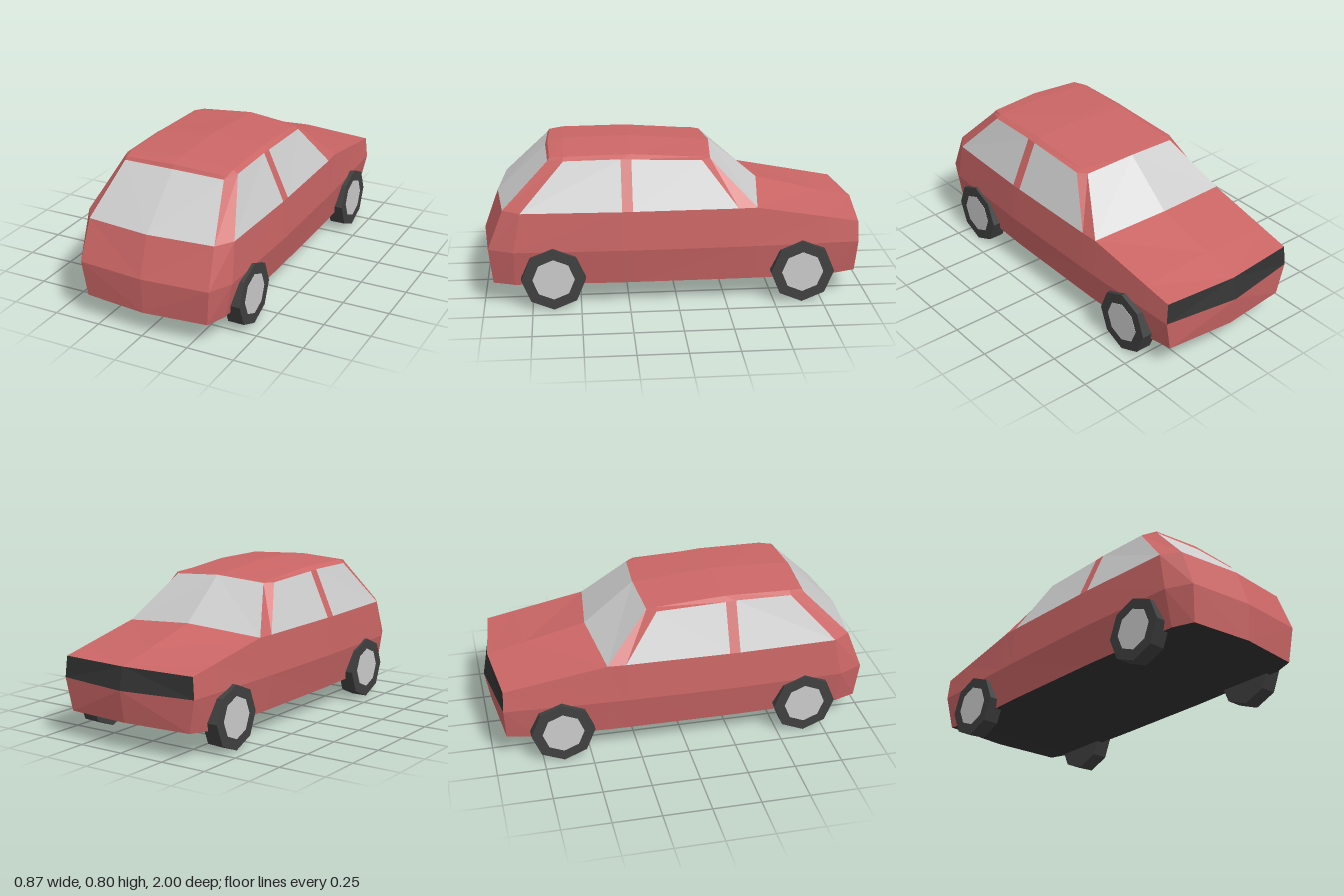
import * as THREE from 'three';

const paint = (color) => new THREE.MeshStandardMaterial({ color, flatShading: true });
const red = paint(0xcc6666), dark = paint(0x333333), tyreMat = paint(0x404040), grey = paint(0xcccccc);

// Half outlines on the +x side, running from the centre of the +z end to the centre of the nose
const bottom = [[0, .12, .985], [.335, .12, .95], [.375, .12, .84], [.39, .12, .285], [.39, .12, .23],
  [.388, .12, -.31], [.386, .12, -.405], [.372, .12, -.78], [.365, .14, -.93], [0, .145, -.97]];
const belt = [[0, .31, 1], [.355, .31, .97], [.415, .31, .84], [.43, .31, .285], [.43, .31, .23],
  [.425, .31, -.31], [.422, .31, -.405], [.407, .31, -.78], [.4, .31, -.94], [0, .31, -1]];
const sill = [[0, .515, .925], [.345, .515, .89], [.405, .515, .8], [.42, .515, .285], [.42, .515, .23],
  [.415, .515, -.31], [.41, .515, -.405], [.396, .448, -.78], [.39, .42, -.935], [0, .425, -.975]];
const cabinBase = [...sill.slice(0, 7), [0, .55, -.455]];
const windowTop = [[0, .757, .667], [.275, .75, .655], [.31, .757, .575], [.31, .76, .285], [.31, .757, .23],
  [.31, .745, -.13], [.275, .745, -.175], [0, .765, -.195]];
const roofEdge = [[0, .778, .655], [.27, .765, .645], [.285, .773, .575], [.28, .777, .285], [.28, .777, .23],
  [.275, .752, -.13], [.275, .745, -.175], [0, .765, -.195]];
const roofRidge = [[0, .778, .655], [0, .778, .655], [0, .79, .57], [0, .797, .285], [0, .797, .23],
  [0, .769, -.13], [0, .765, -.195], [0, .765, -.195]];
const hoodRidge = [[0, .55, -.455], [0, .471, -.78], [0, .425, -.975], [0, .425, -.975]];

// Mirrored band of quads between two outlines, from point i to point j
function band(name, material, low, high, i = 0, j = low.length - 1) {
  const pos = [];
  const tri = (a, b, c) => {
    const [p, q, r] = [a, b, c].map((v) => new THREE.Vector3(...v));
    if (q.clone().sub(p).cross(r.clone().sub(p)).length() < 1e-6) return;
    pos.push(...a, ...b, ...c);
    for (const [x, y, z] of [a, c, b]) pos.push(-x, y, z);
  };
  for (let k = i; k < j; k++) {
    tri(low[k], low[k + 1], high[k + 1]);
    tri(low[k], high[k + 1], high[k]);
  }
  const geo = new THREE.BufferGeometry();
  geo.setAttribute('position', new THREE.Float32BufferAttribute(pos, 3));
  geo.computeVertexNormals();
  const mesh = new THREE.Mesh(geo, material);
  mesh.name = name;
  return mesh;
}

// Eight-sided disc with its axis along x
function disc(name, material, radius, width) {
  const mesh = new THREE.Mesh(new THREE.CylinderGeometry(radius, radius, width, 8).rotateZ(Math.PI / 2), material);
  mesh.name = name;
  return mesh;
}

export function createModel() {
  const car = new THREE.Group();
  car.name = 'car';

  // Lower body
  car.add(
    band('underside', dark, bottom.map(([, y, z]) => [0, y, z]), bottom),
    band('lowerBody', red, bottom, belt),
    band('upperBody', red, belt, sill, 0, 8),
    band('grille', dark, belt, sill, 8, 9),
    band('hood', red, sill.slice(6), hoodRidge),
  );

  // Cabin glass and pillars
  const cabin = [['hatchWindow', grey], ['hatchPillar', red], ['rearSideWindow', grey], ['middlePillar', red],
    ['frontSideWindow', grey], ['windshieldPillar', red], ['windshield', grey]];
  cabin.forEach(([name, mat], k) => car.add(band(name, mat, cabinBase, windowTop, k, k + 1)));

  // Roof
  car.add(band('roofRim', red, windowTop, roofEdge), band('roof', red, roofEdge, roofRidge));

  // Wheels
  for (const side of [-1, 1]) for (const z of [.64, -.645]) {
    const wheel = new THREE.Group();
    wheel.name = 'wheel';
    const hub = disc('hubcap', grey, .108, .01);
    hub.position.x = side * .04;
    wheel.add(disc('tyre', tyreMat, .165, .086), hub);
    wheel.position.set(side * .392, .165, z);
    hub.position.x = side * .0395;
    car.add(wheel);
  }
  return car;
}
